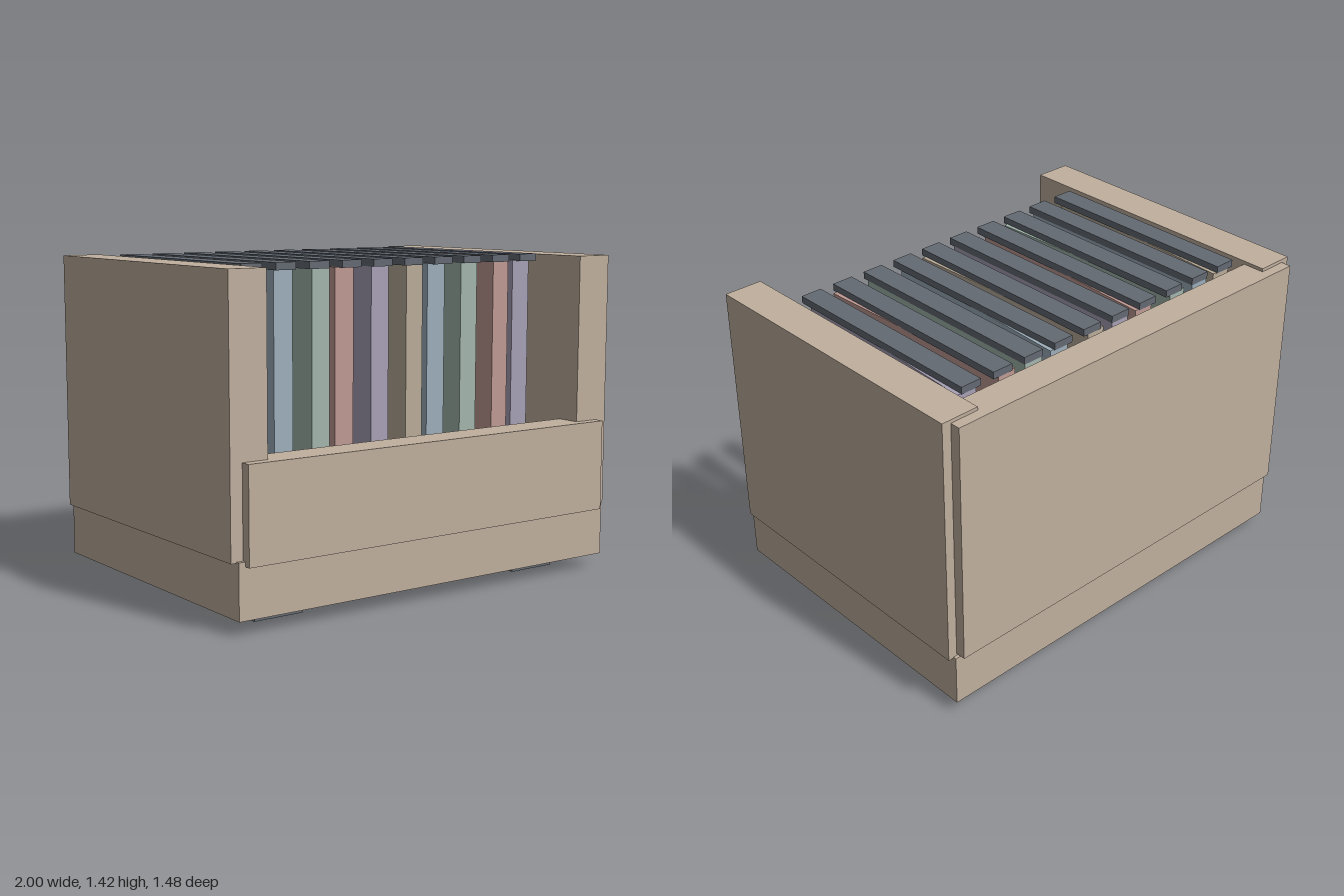
import * as THREE from 'three';

function material(name, color) {
  const m = new THREE.MeshStandardMaterial({ color });
  m.name = name;
  return m;
}

export function createModel() {
  const group = new THREE.Group();
  const tan = material('tan', 0xc0af9e);
  const slate = material('slate', 0x646a73);
  const fileColors = [
    material('sand', 0xbaad99),
    material('blue', 0x9dafbc),
    material('green', 0xa3b6ad),
    material('red', 0xc09a93),
    material('purple', 0xa8a1b6),
  ];

  // Box given by its minimum and maximum corners
  function box(name, mat, [x0, y0, z0], [x1, y1, z1]) {
    const mesh = new THREE.Mesh(new THREE.BoxGeometry(x1 - x0, y1 - y0, z1 - z0), mat);
    mesh.position.set((x0 + x1) / 2, (y0 + y1) / 2, (z0 + z1) / 2);
    mesh.name = name;
    group.add(mesh);
    return mesh;
  }

  // Crate: base and four thick walls
  box('base', tan, [-0.975, 0.06, -0.707], [0.975, 0.295, 0.71]);
  box('frontPanel', tan, [-0.945, 0.275, 0.58], [0.942, 0.68, 0.738]);
  box('backPanel', tan, [-0.962, 0.305, -0.738], [0.958, 1.405, -0.59]);
  box('rightPanel', tan, [-1, 0.29, -0.692], [-0.828, 1.42, 0.693]);
  box('leftPanel', tan, [0.825, 0.29, -0.692], [1, 1.42, 0.693]);

  // Feet
  for (const x of [-0.693, 0.69]) {
    for (const z of [-0.44, 0.443]) {
      box('foot', slate, [x - 0.117, 0, z - 0.117], [x + 0.117, 0.06, z + 0.117]);
    }
  }

  // Row of upright sleeves, alternately skewed, each under a straight cap
  const skews = [-0.046, 0, 0.046];
  for (let i = 0; i < 10; i++) {
    const x = -0.743 + i * 0.164;
    const sleeve = box('sleeve', fileColors[i % 5], [x - 0.046, 0.29, -0.55], [x + 0.046, 1.395, 0.432]);
    sleeve.rotation.y = skews[i % 3];
    box('sleeveCap', slate, [x - 0.049, 1.392, -0.552], [x + 0.049, 1.424, 0.455]);
  }
  return group;
}
